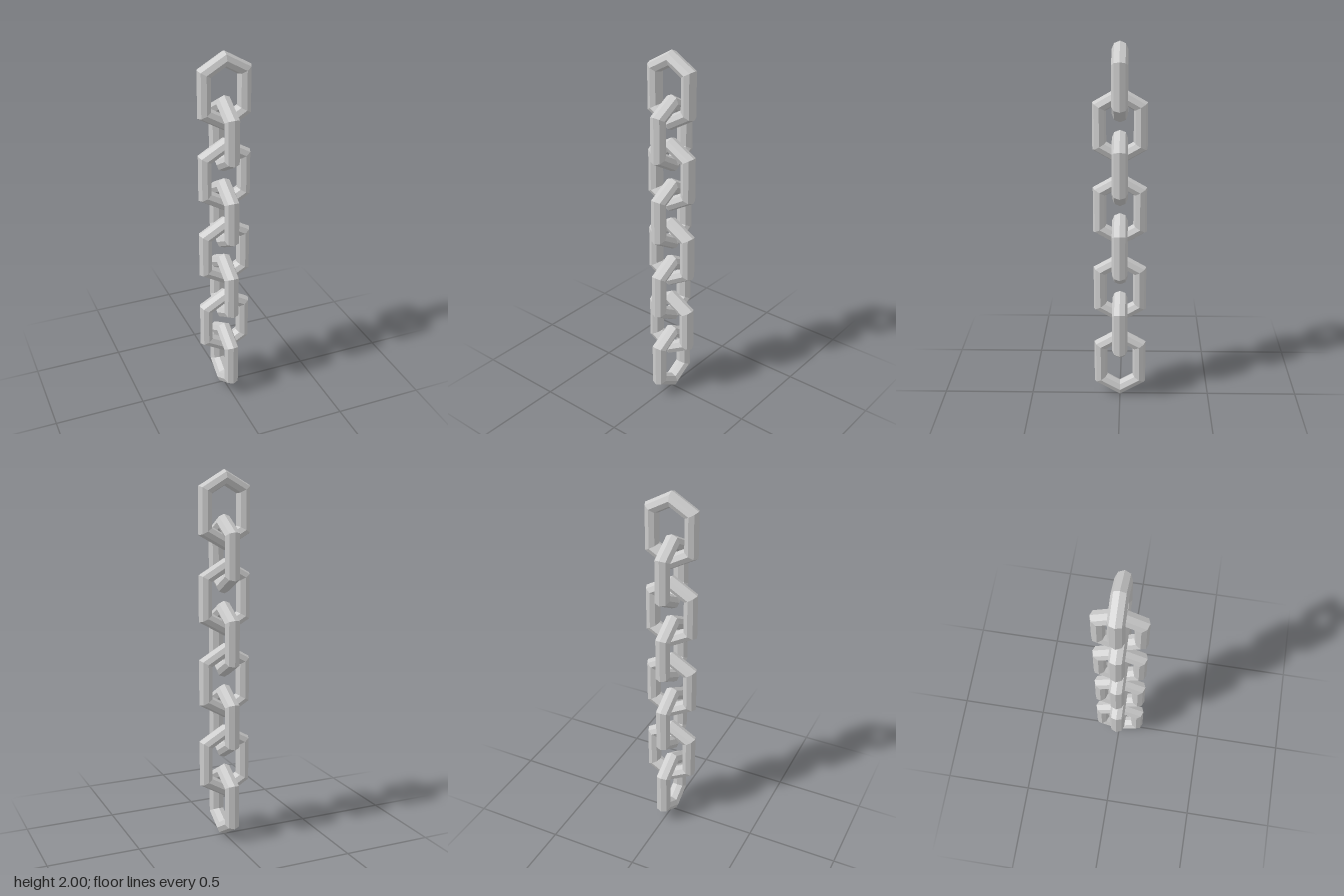
import * as THREE from 'three';

const LINKS = 8;
const RING = 0.1236;     // centre line radius of the hexagon
const WIRE = 0.042;      // radius of the eight-sided bar
const STRETCH = 0.0414;  // half the extra length of each link
const HEIGHT = 2 * (RING + WIRE + STRETCH);
const STEP = (2 - HEIGHT) / (LINKS - 1);

// Hexagonal ring with its corners at top and bottom, halves pulled apart
function linkGeometry() {
  const geometry = new THREE.TorusGeometry(RING, WIRE, 8, 6);
  geometry.rotateZ(Math.PI / 6);
  const position = geometry.attributes.position;
  for (let i = 0; i < position.count; i++) {
    const y = position.getY(i);
    position.setY(i, y + Math.sign(y) * STRETCH);
  }
  geometry.computeVertexNormals();
  return geometry;
}

export function createModel() {
  const chain = new THREE.Group();
  chain.name = 'chain';
  const material = new THREE.MeshStandardMaterial({ color: 0xcccccc, flatShading: true });
  const geometry = linkGeometry();

  // Links from top to bottom, every second one turned a quarter
  for (let i = 0; i < LINKS; i++) {
    const link = new THREE.Mesh(geometry, material);
    link.name = `link${i + 1}`;
    link.position.y = 2 - HEIGHT / 2 - i * STEP;
    link.rotation.y = (i % 2) * Math.PI / 2;
    chain.add(link);
  }
  return chain;
}
